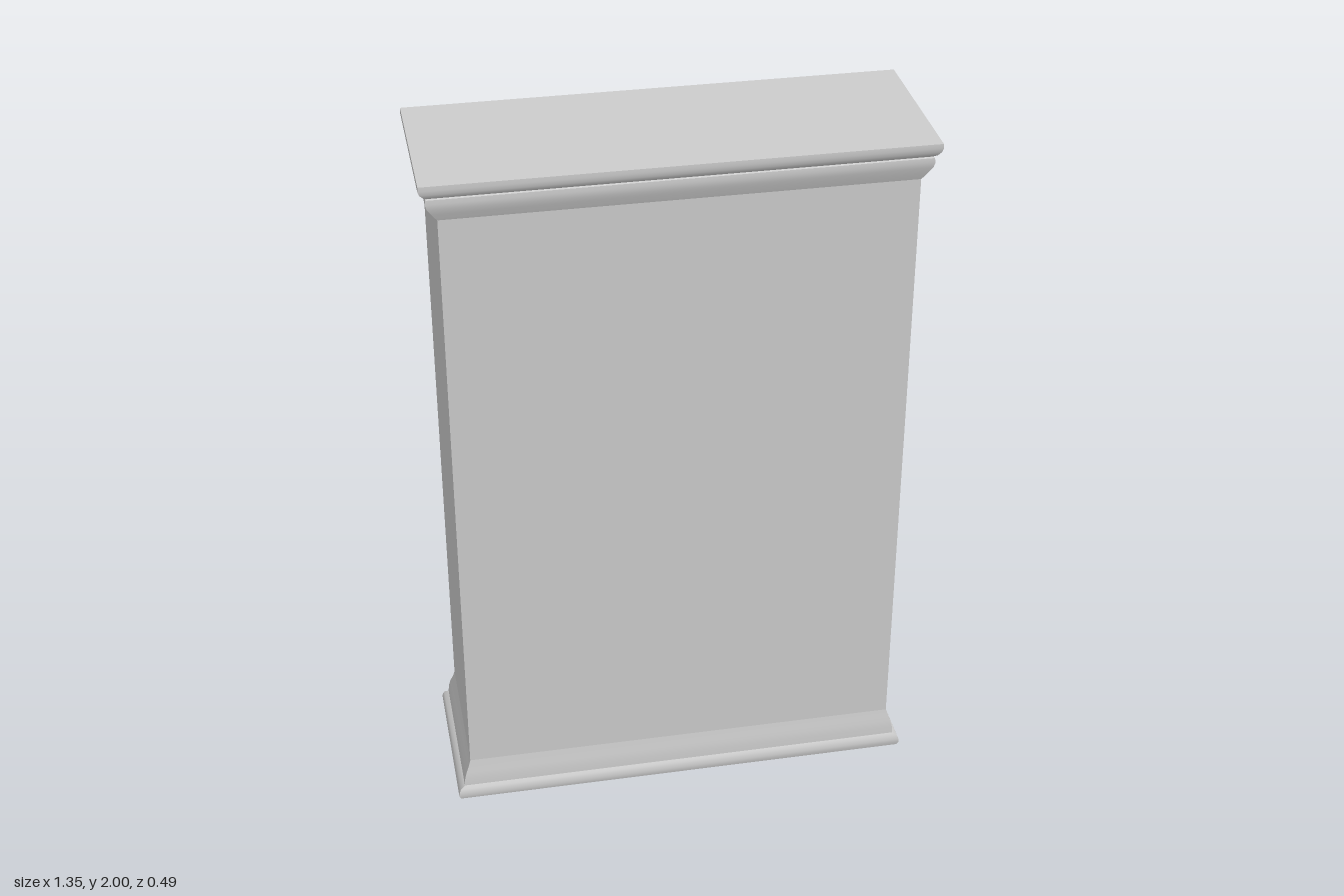
import * as THREE from 'three';
import { toCreasedNormals } from 'three/addons/utils/BufferGeometryUtils.js';

const material = new THREE.MeshStandardMaterial({ color: 0xcccccc });

// Body extents and the open bay, which faces -z
const HALF = 0.628, BACK = 0.217, FACE = -0.206, INNER = 0.187;
const OPEN = 0.55, FLOOR = 0.695, CEILING = 1.81;

function part(name, geometry, x = 0, y = 0, z = 0) {
  const mesh = new THREE.Mesh(geometry, material);
  mesh.name = name;
  mesh.position.set(x, y, z);
  return mesh;
}

// Closed solid through rectangular rings [x0, x1, z0, z1, y], lowest first
function loftRects(rings, crease = 0.7) {
  const pos = [];
  const corners = rings.map(([x0, x1, z0, z1, y]) =>
    [[x0, y, z0], [x0, y, z1], [x1, y, z1], [x1, y, z0]]);
  const quad = (a, b, c, d) => pos.push(...a, ...b, ...c, ...a, ...c, ...d);
  for (let r = 0; r < corners.length - 1; r++) {
    for (let i = 0; i < 4; i++) {
      const j = (i + 1) % 4;
      quad(corners[r][i], corners[r][j], corners[r + 1][j], corners[r + 1][i]);
    }
  }
  const [a, b, c, d] = corners[0];
  quad(d, c, b, a);
  quad(...corners[corners.length - 1]);
  const geometry = new THREE.BufferGeometry();
  geometry.setAttribute('position', new THREE.Float32BufferAttribute(pos, 3));
  return toCreasedNormals(geometry, crease);
}

// Moulding running round the body: profile of [overhang, y]; shallower front to back
function moulding(profile) {
  return loftRects(profile.map(([o, y]) =>
    [-HALF - o, HALF + o, FACE - o * 0.66, BACK + o * 0.58, y]));
}

function box(x0, x1, y0, y1, z0, z1) {
  const geometry = new THREE.BoxGeometry(x1 - x0, y1 - y0, z1 - z0);
  return geometry.translate((x0 + x1) / 2, (y0 + y1) / 2, (z0 + z1) / 2);
}

// Carcass with the open shelf bay cut through it
function carcassGeometry() {
  const rect = (Type, w, y0, y1) => {
    const path = new Type();
    path.moveTo(-w, y0).lineTo(w, y0).lineTo(w, y1).lineTo(-w, y1).closePath();
    return path;
  };
  const shape = rect(THREE.Shape, HALF, 0.1, 1.92);
  shape.holes.push(rect(THREE.Path, OPEN, FLOOR, CEILING));
  return new THREE.ExtrudeGeometry(shape, { depth: INNER - FACE, bevelEnabled: false })
    .translate(0, 0, FACE);
}

// Raised drawer front with sloping edges and a sunk centre
function drawerGeometry() {
  const ring = (inset, out) => [-0.245 + inset, 0.245 - inset, -0.215 + inset, 0.215 - inset, out];
  return loftRects([ring(0, -0.005), ring(0, 0), ring(0.03, 0.011), ring(0.05, 0.011), ring(0.07, 0.005)], 0.2)
    .rotateX(-Math.PI / 2);
}

// Turned knob pointing to -z
function knobGeometry() {
  const profile = [[0.012, 0], [0.011, 0.012], [0.02, 0.015], [0.027, 0.021],
    [0.027, 0.027], [0.021, 0.034], [0.011, 0.038], [0, 0.039]];
  return new THREE.LatheGeometry(profile.map(([r, y]) => new THREE.Vector2(r, y)), 24)
    .rotateX(-Math.PI / 2);
}

export function createModel() {
  const group = new THREE.Group();
  group.name = 'bookcase';

  group.add(part('carcass', carcassGeometry()));
  group.add(part('backPanel', box(-HALF, HALF, 0.1, 1.92, INNER, BACK)));

  // Plinth and cornice
  group.add(part('plinth', moulding([[0.034, 0], [0.04, 0.012], [0.039, 0.022], [0.034, 0.034],
    [0.021, 0.042], [0.019, 0.065], [0.014, 0.085], [0.006, 0.105], [0, 0.125]])));
  group.add(part('cornice', moulding([[0, 1.892], [0.006, 1.9], [0.014, 1.912], [0.026, 1.93],
    [0.03, 1.945], [0.028, 1.957], [0.022, 1.96], [0.034, 1.966], [0.043, 1.976], [0.047, 1.988], [0.046, 2]])));

  // Shelves
  for (const [bottom, top] of [[1.032, 1.076], [1.438, 1.48]]) {
    group.add(part('shelf', box(-OPEN, OPEN, bottom, top, FACE + 0.004, INNER)));
  }

  // Drawers with knobs
  for (const side of [-1, 1]) {
    group.add(part('drawerFront', drawerGeometry(), side * 0.295, 0.425, FACE));
    group.add(part('drawerKnob', knobGeometry(), side * 0.297, 0.43, FACE - 0.003));
  }
  return group;
}
